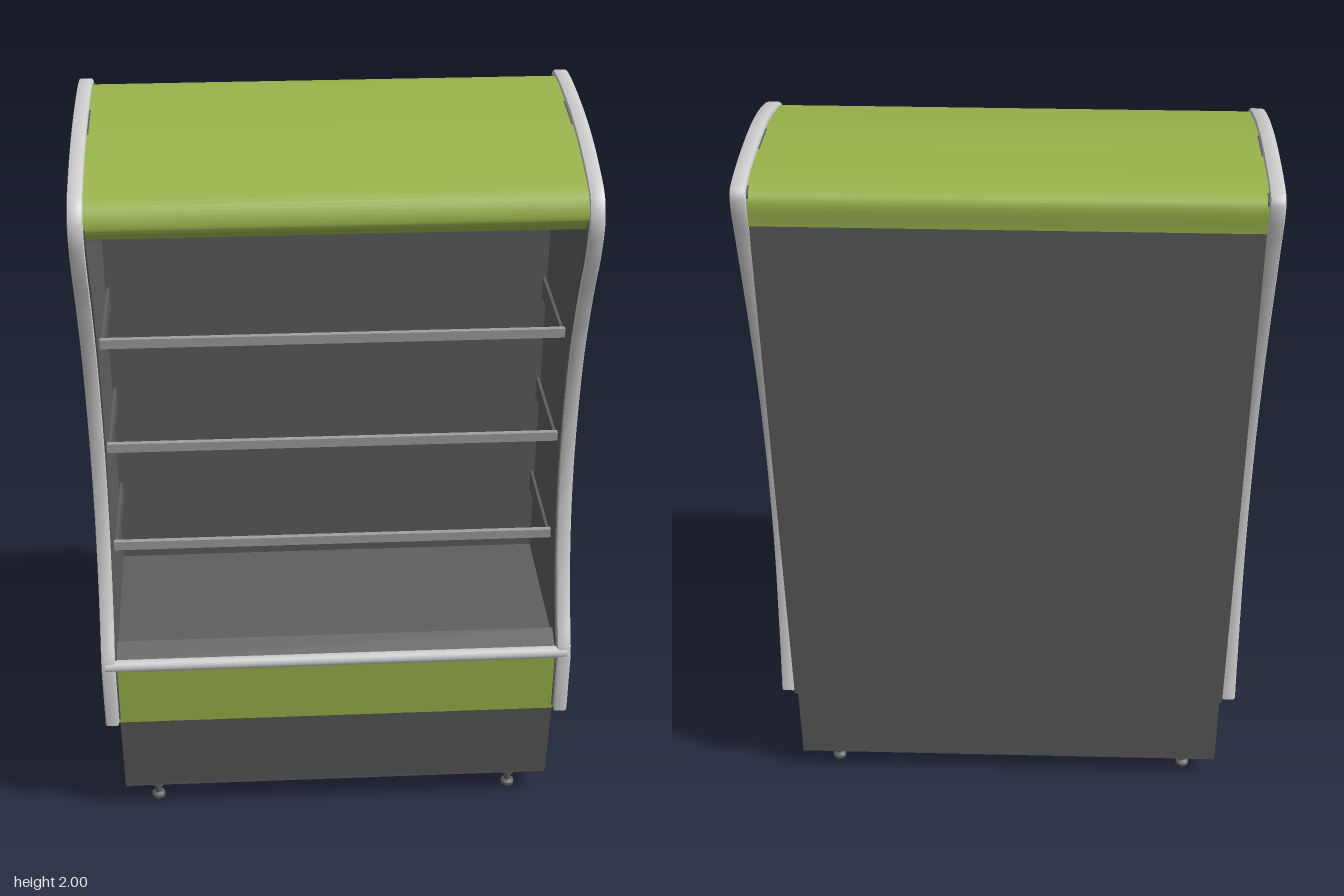
import * as THREE from 'three';
import { toCreasedNormals } from 'three/addons/utils/BufferGeometryUtils.js';

const paint = (name, color) => {
  const m = new THREE.MeshStandardMaterial({ color });
  m.name = name;
  return m;
};

// Smooth curve through [z, y] points
const smooth = (pts, n) =>
  new THREE.CatmullRomCurve3(pts.map(([z, y]) => new THREE.Vector3(z, y, 0)), false, 'centripetal')
    .getPoints(n).map((p) => [p.x, p.y]);

// Moves a counter-clockwise [z, y] outline inwards by d, with mitred corners
function inset(pts, d) {
  const n = pts.length;
  const normal = (a, b) => new THREE.Vector2(a[1] - b[1], b[0] - a[0]).normalize();
  return pts.map((p, i) => {
    const n1 = normal(pts[(i + n - 1) % n], p), n2 = normal(p, pts[(i + 1) % n]);
    const k = d / (1 + n1.dot(n2));
    return [p[0] + (n1.x + n2.x) * k, p[1] + (n1.y + n2.y) * k];
  });
}

// Extrudes a [z, y] profile along x from x0 to x1
function extrudeX(pts, x0, x1, hole, bevel = 0) {
  const toV = (list) => list.map(([z, y]) => new THREE.Vector2(z, y));
  const shape = new THREE.Shape(toV(pts));
  if (hole) shape.holes.push(new THREE.Path(toV(hole)));
  const geo = new THREE.ExtrudeGeometry(shape, {
    depth: x1 - x0 - 2 * bevel, bevelEnabled: bevel > 0, bevelSize: bevel,
    bevelThickness: bevel, bevelOffset: -bevel, bevelSegments: 2,
  });
  geo.rotateY(-Math.PI / 2).translate(x1 - bevel, 0, 0);
  return toCreasedNormals(geo, 0.6);
}

export function createModel() {
  const root = new THREE.Group();
  root.name = 'displayCabinet';
  const green = paint('green', 0x9ab44c);
  const dark = paint('darkGrey', 0x5e5e5e);
  const light = paint('lightGrey', 0xcfcfcf);
  const mid = paint('midGrey', 0xa0a0a0);

  const add = (name, geo, mat, x = 0, y = 0, z = 0) => {
    const m = new THREE.Mesh(geo, mat);
    m.name = name;
    m.position.set(x, y, z);
    root.add(m);
    return m;
  };
  const box = (name, mat, w, y0, y1, z0, z1, x = 0) =>
    add(name, new THREE.BoxGeometry(w, y1 - y0, z1 - z0), mat, x, (y0 + y1) / 2, (z0 + z1) / 2);

  const W = 0.612; // half width between the side panels

  // Waisted side panels: pale rim, green outside, dark inside
  const outline = [[0.34, 0.345], ...smooth([
    [0.34, 0.53], [0.33, 0.565], [0.28, 0.66], [0.225, 0.8], [0.187, 0.97], [0.177, 1.15],
    [0.2, 1.4], [0.255, 1.6], [0.313, 1.75], [0.326, 1.84], [0.298, 1.897], [0.2, 1.94],
    [0.05, 1.978], [-0.12, 1.998], [-0.3, 2.0], [-0.335, 1.99], [-0.343, 1.95],
    [-0.325, 1.86], [-0.27, 1.6], [-0.235, 1.4], [-0.215, 1.2], [-0.212, 1.0],
    [-0.225, 0.8], [-0.26, 0.6], [-0.29, 0.46], [-0.318, 0.345],
  ], 110)];
  const inner = inset(outline, 0.02);
  for (const s of [1, -1]) {
    const slab = (name, mat, pts, a, b, hole, bevel) =>
      add(name, extrudeX(pts, s > 0 ? a : -b, s > 0 ? b : -a, hole, bevel), mat);
    slab('sidePanelRim', light, outline, W, 0.65, inner, 0.006);
    slab('sidePanelOuter', green, inner, 0.63, 0.644);
    slab('sidePanelInner', dark, inset(outline, 0.012), W - 0.004, 0.63);
  }

  // Insulated back
  box('backWall', dark, 2 * W, 0.345, 1.93, -0.33, -0.18);

  // Curved canopy with dark ceiling and lamp
  const canopy = smooth([
    [0.3, 1.815], [0.313, 1.845], [0.29, 1.893], [0.2, 1.928], [0.05, 1.966],
    [-0.15, 1.988], [-0.29, 1.99], [-0.33, 1.97], [-0.338, 1.9],
  ], 48);
  add('canopy', extrudeX([...canopy, [-0.2, 1.9], [-0.15, 1.818]], -W, W), green);
  box('ceiling', dark, 2 * W - 0.01, 1.811, 1.819, -0.19, 0.295);
  box('lamp', light, 0.9, 1.805, 1.811, 0.2, 0.25);

  // Tub with raised front lip
  add('tub', extrudeX([
    [0.31, 0.345], [0.31, 0.55], [0.255, 0.575], [0.235, 0.55], [-0.19, 0.565], [-0.19, 0.345],
  ], -W, W), dark);
  box('frontPanel', green, 2 * W, 0.342, 0.53, 0.305, 0.322);
  const rail = new THREE.CylinderGeometry(0.017, 0.017, 1.28, 20).rotateZ(Math.PI / 2);
  add('bumperRail', rail, light, 0, 0.541, 0.323);

  // Shelf rails on tapered wall brackets
  for (const y of [0.81, 1.125, 1.44]) {
    box('shelfRail', mid, 2 * W, y - 0.013, y + 0.013, 0.118, 0.132);
    for (const x of [-0.604, 0.596]) {
      add('shelfBracket', extrudeX([
        [0.12, y - 0.012], [0.12, y + 0.012], [-0.185, y + 0.012], [-0.185, y - 0.05],
      ], x, x + 0.008), dark);
    }
  }

  // Base with sloping kick plate
  box('base', dark, 2 * W - 0.004, 0.067, 0.346, -0.29, 0.275);
  add('kickPlate', extrudeX([
    [0.27, 0.09], [0.295, 0.09], [0.322, 0.346], [0.27, 0.346],
  ], -W + 0.002, W - 0.002), dark);

  // Levelling feet, turned
  const foot = new THREE.LatheGeometry([
    [0, 0], [0.019, 0], [0.019, 0.01], [0.009, 0.016], [0.009, 0.042], [0.018, 0.042], [0.018, 0.068],
  ].map(([r, y]) => new THREE.Vector2(r, y)), 14);
  for (const x of [-0.52, 0.51]) {
    for (const z of [-0.24, 0.24]) add('foot', toCreasedNormals(foot, 0.6), dark, x, 0, z);
  }
  return root;
}
